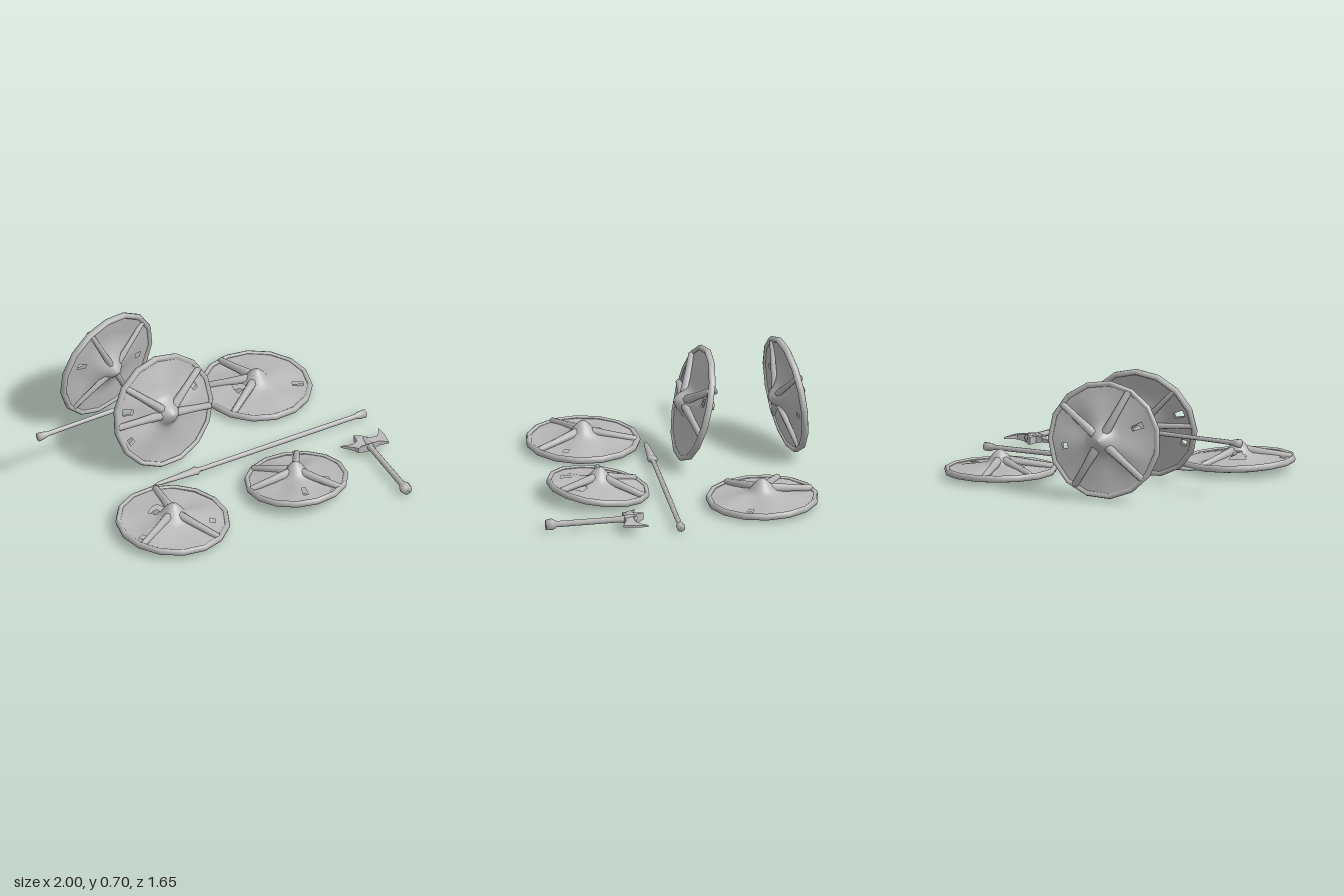
import * as THREE from 'three';

const grey = new THREE.MeshStandardMaterial({ color: 0xb8b8b8, side: THREE.DoubleSide });
grey.name = 'plainGrey';
const UP = new THREE.Vector3(0, 1, 0);

function add(parent, name, geometry) {
  const m = new THREE.Mesh(geometry, grey);
  m.name = name;
  parent.add(m);
  return m;
}

// Turned part along a line; profile holds [radius, fraction along the line]
function turned(parent, name, from, to, profile, flat = 1, sides = 7) {
  const a = new THREE.Vector3(...from), d = new THREE.Vector3(...to).sub(a);
  const len = d.length();
  const m = add(parent, name, new THREE.LatheGeometry(
    profile.map(([r, t]) => new THREE.Vector2(r, t * len)), sides));
  m.position.copy(a);
  m.quaternion.setFromUnitVectors(UP, d.normalize());
  m.scale.x = flat;
  return m;
}

// Height of a profile of [radius fraction, height] at r
function heightAt(profile, r) {
  for (let i = 1; i < profile.length; i++) {
    const [r0, h0] = profile[i - 1], [r1, h1] = profile[i];
    if (r <= r1) return h0 + (h1 - h0) * (r - r0) / (r1 - r0);
  }
  return profile[profile.length - 1][1];
}

// Polar sheet with soft folds and a few broken-out cells
function sheet(R, profile, fold, holes, phase) {
  const rings = [0, 0.07, 0.14, 0.2, 0.26, 0.34, 0.44, 0.54, 0.64, 0.74, 0.84, 0.95], n = 45;
  const pos = [], idx = [];
  for (const r of rings) for (let i = 0; i < n; i++) {
    const a = i / n * Math.PI * 2;
    const mask = r > 0.2 ? Math.sin(Math.PI * Math.min(1, (r - 0.2) / 0.75)) : 0;
    const wave = Math.sin(3 * a + phase) + 0.7 * Math.sin(5 * a + phase * 2.3);
    pos.push(Math.cos(a) * r * R, heightAt(profile, r) + fold * mask * wave, Math.sin(a) * r * R);
  }
  for (let j = 0; j < rings.length - 1; j++) for (let i = 0; i < n; i++) {
    const r = (rings[j] + rings[j + 1]) / 2, a = (i + 0.5) / n * Math.PI * 2;
    const x = Math.cos(a) * r, z = Math.sin(a) * r;
    if (holes.some(([hx, hz, hr]) => Math.hypot(x - hx, z - hz) < hr)) continue;
    const k = (i + 1) % n, p = j * n + i, q = j * n + k;
    idx.push(p, q, p + n, q, q + n, p + n);
  }
  const g = new THREE.BufferGeometry();
  g.setAttribute('position', new THREE.Float32BufferAttribute(pos, 3));
  g.setIndex(idx);
  g.computeVertexNormals();
  return g;
}

function shield(parent, { name, at, normal, R, spokes, holes, phase, back = 0, stub = 0 }) {
  const g = new THREE.Group();
  g.name = name;
  parent.add(g);
  g.position.set(...at);
  g.quaternion.setFromUnitVectors(UP, new THREE.Vector3(...normal).normalize());

  // Rounded, slightly uneven rim
  const rim = new THREE.LatheGeometry([[0.91, 0.012], [0.95, 0.021], [0.985, 0.016], [1, 0],
    [0.985, -0.016], [0.94, -0.02], [0.91, -0.01], [0.91, 0.012]]
    .map(([r, y]) => new THREE.Vector2(r * R, y)), 15, phase);
  add(g, 'rim', rim);

  // Face with pointed boss
  const face = [[0, 0.122], [0.07, 0.112], [0.14, 0.09], [0.2, 0.062], [0.26, 0.042],
    [0.44, 0.026], [0.74, 0.012], [1, 0.006]];
  add(g, 'faceAndBoss', sheet(R, face, 0.007, holes, phase));

  // Backing, raised to a hub on the standing shields
  const rear = [[0, -0.01 - back], [0.07, -0.01 - back * 0.9], [0.2, -0.01 - back * 0.5],
    [0.34, -0.01 - back * 0.2], [0.54, -0.01], [1, -0.009]];
  add(g, 'backing', sheet(R, rear, 0.003, holes, phase + 1));

  // Tapered spokes from boss to rim
  for (const deg of spokes) {
    const a = deg * Math.PI / 180, c = Math.cos(a), s = Math.sin(a);
    const spoke = (label, y0, y1, w) => turned(g, label,
      [c * R * 0.1, y0, s * R * 0.1], [c * R * 0.95, y1, s * R * 0.95],
      [[0, 0], [w * 1.3, 0.02], [w, 0.5], [w * 0.9, 0.97], [0, 1]]);
    spoke('spoke', 0.058, 0.012, 0.022);
    if (back) spoke('backSpoke', -back * 0.6, -0.006, 0.016);
  }

  // Grip stump behind the hub
  if (stub) turned(g, 'gripStump', [0, -0.03, 0], [0, -stub, 0],
    [[0.02, 0], [0.02, 0.7], [0.026, 0.75], [0.026, 1], [0, 1]], 1, 5);
}

export function createModel() {
  const model = new THREE.Group();
  model.name = 'shieldsAndWeapons';

  // Three lying shields and two standing ones
  shield(model, { name: 'lyingShieldRight', at: [-0.465, 0.056, 0.485], normal: [0.04, 1, 0], R: 0.336,
    spokes: [-84, 57, 148], holes: [[-0.19, -0.27, 0.13], [-0.68, 0.37, 0.07], [0.63, 0.33, 0.07]], phase: 0.6 });
  shield(model, { name: 'lyingShieldLeft', at: [0.348, 0.068, 0.442], normal: [0, 1, -0.13], R: 0.305,
    spokes: [52, -65, 182, 232], holes: [[0.36, 0.36, 0.12], [-0.12, 0.62, 0.07], [0.4, 0.78, 0.08]], phase: 2.1 });
  shield(model, { name: 'lyingShieldBack', at: [0.53, 0.045, -0.505], normal: [0.02, 1, 0.01], R: 0.33,
    spokes: [-108, 140, 200], holes: [[-0.34, 0.02, 0.11], [0.7, 0.24, 0.07]], phase: 3.7 });
  shield(model, { name: 'standingShieldFront', at: [-0.235, 0.355, -0.145], normal: [0.18, 0.27, 1], R: 0.345,
    spokes: [-42, 5, 172, 215], holes: [[-0.72, -0.1, 0.07], [0.6, -0.37, 0.08], [-0.65, 0.42, 0.07]],
    phase: 1.2, back: 0.07, stub: 0.125 });
  shield(model, { name: 'standingShieldBack', at: [-0.345, 0.36, -0.69], normal: [-0.28, 0.1, -0.96], R: 0.348,
    spokes: [100, -75, 20, 205], holes: [[-0.5, 0.4, 0.07], [0.62, -0.3, 0.07]],
    phase: 4.4, back: 0.1 });

  // Spear: leaf blade, shaft and butt
  const spear = new THREE.Group();
  spear.name = 'spear';
  model.add(spear);
  turned(spear, 'spearhead', [-0.43, 0.05, 0.125], [-0.1, 0.05, 0.095],
    [[0, 0], [0.014, 0.15], [0.021, 0.5], [0.027, 0.82], [0.033, 0.9], [0.016, 0.95], [0.015, 1]], 0.7, 8);
  turned(spear, 'spearShaft', [-0.12, 0.05, 0.097], [0.995, 0.04, -0.005],
    [[0.014, 0], [0.016, 0.5], [0.015, 0.94], [0.024, 0.965], [0.026, 1], [0, 1]]);

  // Loose haft behind the standing shield
  turned(model, 'looseHaft', [-1, 0.338, -0.235], [-0.44, 0.343, -0.285],
    [[0, 0], [0.027, 0.01], [0.024, 0.06], [0.015, 0.13], [0.013, 0.5], [0.015, 1], [0, 1]]);

  // Axe: bearded blade with a rear pick, on a flared handle
  const axe = new THREE.Group();
  axe.name = 'axe';
  model.add(axe);
  turned(axe, 'axeHandle', [0.872, 0.06, 0.24], [0.905, 0.04, 0.78],
    [[0, 0], [0.024, 0.02], [0.024, 0.14], [0.018, 0.2], [0.019, 0.88], [0.036, 0.93], [0.03, 1], [0, 1]]);
  const outline = [[0.722, 0.25], [0.785, 0.272], [0.82, 0.262], [0.825, 0.205], [0.865, 0.24],
    [0.905, 0.268], [0.95, 0.258], [0.975, 0.225], [0.995, 0.185], [1, 0.26], [0.994, 0.33],
    [0.94, 0.312], [0.86, 0.325], [0.8, 0.328], [0.785, 0.305]];
  const head = new THREE.ExtrudeGeometry(
    new THREE.Shape(outline.map(([x, z]) => new THREE.Vector2(x, -z))), { depth: 1, bevelEnabled: false });
  head.rotateX(-Math.PI / 2);
  // Thin the head towards both tips
  const p = head.attributes.position;
  for (let i = 0; i < p.count; i++) {
    const t = Math.max(0.006, 0.03 - 0.2 * Math.abs(p.getX(i) - 0.87));
    p.setY(i, 0.055 + (p.getY(i) - 0.5) * 2 * t);
  }
  head.computeVertexNormals();
  add(axe, 'axeHead', head);

  return model;
}
